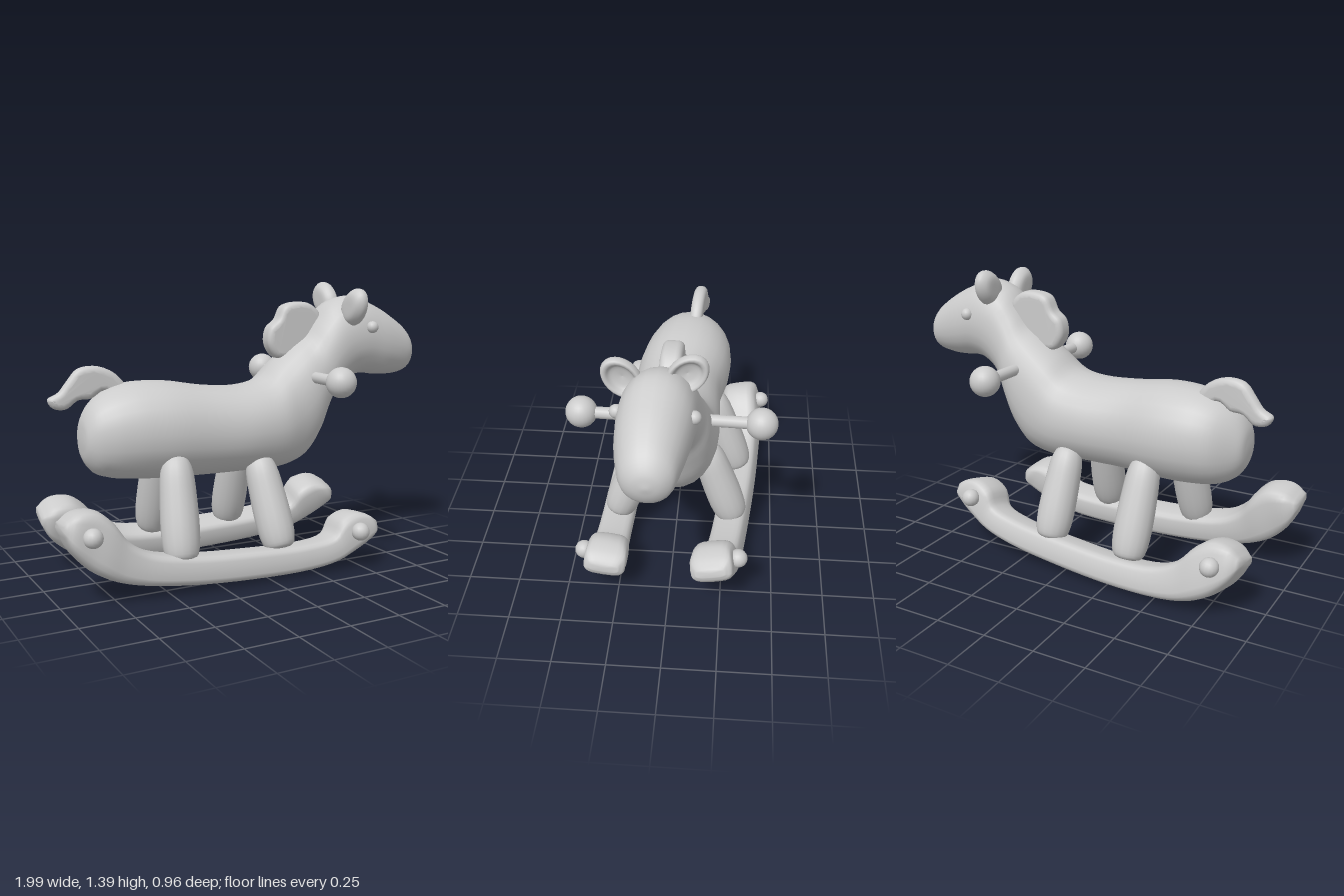
import * as THREE from 'three';
import { mergeVertices } from 'three/addons/utils/BufferGeometryUtils.js';

const grey = new THREE.MeshStandardMaterial({ color: 0xcccccc });

function add(parent, name, geometry, x = 0, y = 0, z = 0) {
  const mesh = new THREE.Mesh(geometry, grey);
  mesh.name = name;
  mesh.position.set(x, y, z);
  parent.add(mesh);
  return mesh;
}

// Skin over cross-sections [topX, topY, bottomX, bottomY, halfWidth, centreZ];
// power 1 gives ellipses, smaller powers give rounded boxes.
function loft(sections, rings, sides, power) {
  const curve = (f) => new THREE.CatmullRomCurve3(sections.map(f));
  const top = curve((s) => new THREE.Vector3(s[0], s[1], 0));
  const bottom = curve((s) => new THREE.Vector3(s[2], s[3], 0));
  const width = curve((s, i) => new THREE.Vector3(s[4], s[5], i * 0.1));
  const round = (v) => Math.sign(v) * Math.abs(v) ** power;
  const pos = [], index = [], centres = [];
  for (let i = 0; i <= rings; i++) {
    const t = top.getPoint(i / rings), b = bottom.getPoint(i / rings), w = width.getPoint(i / rings);
    const c = t.clone().add(b).multiplyScalar(0.5), h = t.clone().sub(c);
    centres.push([c.x, c.y, w.y]);
    for (let j = 0; j < sides; j++) {
      const a = (j / sides) * Math.PI * 2, u = round(Math.cos(a));
      pos.push(c.x + h.x * u, c.y + h.y * u, w.y + w.x * round(Math.sin(a)));
    }
  }
  const first = pos.length / 3, last = rings * sides;
  pos.push(...centres[0], ...centres[rings]);
  for (let j = 0; j < sides; j++) {
    const k = (j + 1) % sides;
    for (let i = 0; i < rings; i++) {
      const p = i * sides, q = p + sides;
      index.push(p + j, p + k, q + j, p + k, q + k, q + j);
    }
    index.push(first, k, j, first + 1, last + j, last + k);
  }
  const g = new THREE.BufferGeometry();
  g.setAttribute('position', new THREE.Float32BufferAttribute(pos, 3));
  g.setIndex(index);
  g.computeVertexNormals();
  return g;
}

// Soft-edged slab from a smooth closed outline, centred on z = 0
function slab(points, thickness) {
  const outline = new THREE.CatmullRomCurve3(points.map(([x, y]) => new THREE.Vector3(x, y, 0)), true);
  const shape = new THREE.Shape(outline.getPoints(48).slice(0, -1).map((p) => new THREE.Vector2(p.x, p.y)));
  const bevel = 0.028;
  let g = new THREE.ExtrudeGeometry(shape, {
    depth: thickness - 2 * bevel, bevelThickness: bevel, bevelSize: bevel, bevelOffset: -bevel, bevelSegments: 4,
  });
  g.translate(0, 0, bevel - thickness / 2);
  g.deleteAttribute('normal');
  g.deleteAttribute('uv');
  g = mergeVertices(g, 1e-4);
  g.computeVertexNormals();
  return g;
}

const lathe = (pts, sides) => new THREE.LatheGeometry(
  new THREE.SplineCurve(pts.map((p) => new THREE.Vector2(...p))).getPoints(24)
    .map((p) => new THREE.Vector2(Math.max(p.x, 0), p.y)), sides);

// Rounded leg running from its foot to its hip
function leg(parent, name, foot, hip) {
  const a = new THREE.Vector3(...foot), dir = new THREE.Vector3(...hip).sub(a), n = dir.length();
  const g = lathe([[0, 0], [0.06, 0.008], [0.082, 0.05], [0.09, n * 0.3], [0.086, n * 0.6],
    [0.076, n * 0.84], [0.048, n * 0.97], [0, n]], 16);
  const m = add(parent, name, g, ...foot);
  m.quaternion.setFromUnitVectors(new THREE.Vector3(0, 1, 0), dir.normalize());
}

const bodySections = [
  [-0.8, 0.71, -0.8, 0.66, 0.035, 0],
  [-0.79, 0.78, -0.788, 0.59, 0.085, -0.01],
  [-0.75, 0.85, -0.745, 0.53, 0.13, -0.015],
  [-0.67, 0.905, -0.67, 0.497, 0.185, -0.03],
  [-0.56, 0.937, -0.56, 0.482, 0.22, -0.03],
  [-0.4, 0.94, -0.4, 0.475, 0.235, -0.015],
  [-0.2, 0.91, -0.2, 0.475, 0.222, 0.01],
  [0, 0.9, 0, 0.475, 0.23, 0.015],
  [0.12, 0.925, 0.2, 0.475, 0.225, 0.01],
  [0.2, 1.0, 0.34, 0.51, 0.205, 0],
  [0.3, 1.08, 0.42, 0.6, 0.195, 0],
  [0.37, 1.13, 0.48, 0.74, 0.182, 0],
  [0.43, 1.21, 0.53, 0.84, 0.172, 0.015],
  [0.5, 1.29, 0.62, 0.91, 0.167, 0.025],
  [0.62, 1.325, 0.7, 0.925, 0.165, 0.035],
  [0.75, 1.28, 0.79, 0.915, 0.155, 0.045],
  [0.86, 1.22, 0.88, 0.915, 0.135, 0.05],
  [0.94, 1.16, 0.955, 0.935, 0.11, 0.05],
  [0.985, 1.1, 0.985, 0.98, 0.065, 0.05],
  [0.998, 1.05, 0.998, 1.03, 0.012, 0.05],
];

const rockerSections = [
  [-0.99, 0.385, -0.995, 0.345, 0.07, 0],
  [-0.93, 0.425, -0.96, 0.26, 0.1, 0],
  [-0.84, 0.425, -0.89, 0.175, 0.1, 0],
  [-0.77, 0.37, -0.82, 0.125, 0.1, 0],
  [-0.7, 0.275, -0.74, 0.09, 0.09, 0],
  [-0.6, 0.21, -0.62, 0.06, 0.085, 0],
  [-0.4, 0.17, -0.4, 0.03, 0.085, 0],
  [-0.1, 0.15, -0.1, 0.012, 0.085, 0],
  [0.2, 0.145, 0.2, 0.012, 0.085, 0],
  [0.34, 0.17, 0.36, 0.035, 0.09, 0],
  [0.385, 0.24, 0.46, 0.075, 0.1, 0],
  [0.46, 0.27, 0.54, 0.115, 0.1, 0],
  [0.53, 0.255, 0.58, 0.15, 0.1, 0],
  [0.585, 0.22, 0.592, 0.18, 0.07, 0],
];

// Curved runner with curled ends and a round bolt on each outer end
function rocker(name, side) {
  const group = new THREE.Group();
  group.name = name;
  add(group, 'runner', loft(rockerSections, 52, 20, 0.55).translate(0.21, -0.25, 0));
  for (const s of [-1, 1]) {
    add(group, 'bolt', new THREE.SphereGeometry(0.044, 16, 12), 0.67 * s, -0.07 * s, 0.115 * side);
  }
  return group;
}

export function createModel() {
  const model = new THREE.Group();
  model.name = 'rockingHorse';

  add(model, 'bodyNeckAndHead', loft(bodySections, 76, 24, 0.95));

  // Legs splay outward onto the rockers
  leg(model, 'hindLegLeft', [-0.435, 0.14, 0.29], [-0.4, 0.61, 0.15]);
  leg(model, 'foreLegLeft', [0.08, 0.13, 0.3], [0.04, 0.57, 0.14]);
  leg(model, 'hindLegRight', [-0.335, 0.14, -0.315], [-0.35, 0.61, -0.15]);
  leg(model, 'foreLegRight', [0.095, 0.14, -0.3], [0.075, 0.58, -0.14]);

  // The two rockers sit at slightly different angles
  const left = rocker('rockerLeft', 1);
  left.position.set(-0.205, 0.25, 0.275);
  left.rotation.set(-0.1, -0.035, 0);
  const right = rocker('rockerRight', -1);
  right.position.set(-0.13, 0.242, -0.272);
  right.rotation.set(0.25, -0.075, 0.125);
  model.add(left, right);

  // Handlebar with a ball at each end
  const handle = new THREE.Group();
  handle.name = 'handle';
  handle.position.set(0.357, 0.93, 0);
  handle.rotation.y = -0.045;
  add(handle, 'bar', new THREE.CylinderGeometry(0.028, 0.028, 0.8, 16).rotateX(Math.PI / 2));
  for (const s of [-1, 1]) add(handle, 'knob', new THREE.SphereGeometry(0.073, 24, 16), 0, 0, 0.409 * s);
  model.add(handle);

  // Cupped ears facing forward, tilted outward
  for (const [name, tilt, x, y, z] of [['earLeft', 0.7, 0.555, 1.27, 0.185], ['earRight', -0.75, 0.56, 1.3, -0.085]]) {
    const g = lathe([[0, -0.036], [0.055, -0.032], [0.084, 0], [0.08, 0.03], [0.064, 0.03], [0.045, 0.008], [0, -0.002]], 24);
    g.rotateZ(-Math.PI / 2).scale(1, 1.22, 0.9);
    add(model, name, g, x, y, z).rotation.x = tilt;
  }

  add(model, 'eyeLeft', new THREE.SphereGeometry(0.03, 16, 12), 0.665, 1.17, 0.2);
  add(model, 'eyeRight', new THREE.SphereGeometry(0.03, 16, 12), 0.68, 1.165, -0.122);

  // Scalloped mane
  add(model, 'mane', slab([[0.22, 1.02], [0.17, 1.09], [0.18, 1.17], [0.225, 1.21], [0.26, 1.275],
    [0.33, 1.295], [0.41, 1.285], [0.47, 1.22], [0.42, 1.12], [0.32, 1.03]], 0.095), 0, 0, -0.02).rotation.y = -0.04;

  // Flicked tail
  add(model, 'tail', slab([[-0.56, 0.9], [-0.61, 0.975], [-0.7, 1.015], [-0.79, 1.005], [-0.84, 0.95], [-0.88, 0.9],
    [-0.93, 0.87], [-0.91, 0.83], [-0.85, 0.82], [-0.79, 0.86], [-0.73, 0.865], [-0.67, 0.9], [-0.62, 0.87]], 0.065))
    .rotation.y = -0.1;

  return model;
}
